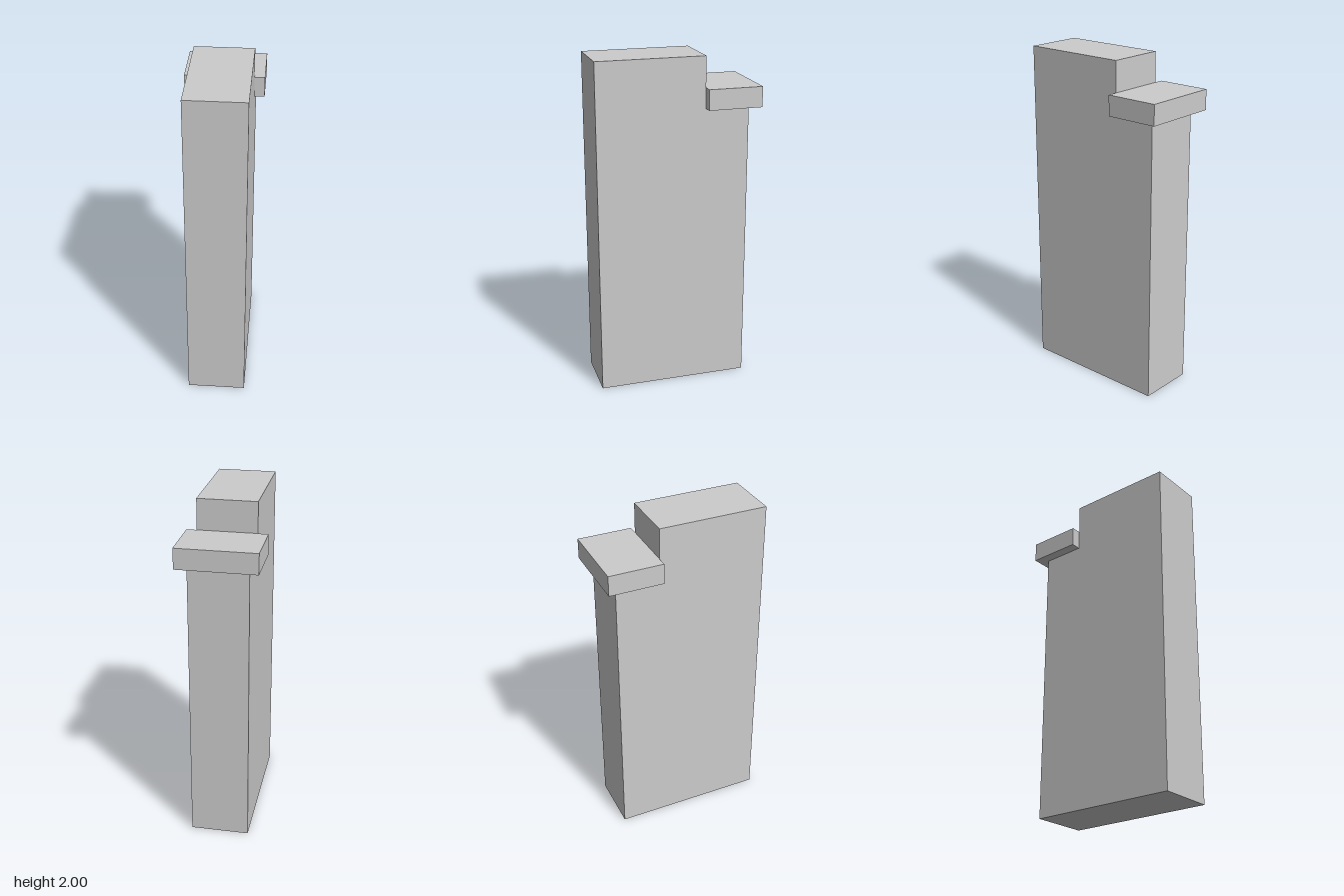
import * as THREE from 'three';

export function createModel() {
  const group = new THREE.Group();
  const material = new THREE.MeshStandardMaterial({ color: 0xcccccc, flatShading: true });

  const halfWidth = 0.172;
  const front = 0.48, step = -0.16, back = -0.42;
  const stepHeight = 1.7, height = 2;

  // Tall slab with a step cut out of its upper back, drawn as a (z, y) side profile
  const profile = new THREE.Shape([
    [back, 0], [front, 0], [front, height], [step, height], [step, stepHeight], [back, stepHeight],
  ].map(([z, y]) => new THREE.Vector2(z, y)));
  const bodyGeometry = new THREE.ExtrudeGeometry(profile, { depth: 2 * halfWidth, bevelEnabled: false });
  bodyGeometry.translate(0, 0, -halfWidth).rotateY(-Math.PI / 2);
  const body = new THREE.Mesh(bodyGeometry, material);
  body.name = 'body';
  group.add(body);

  // Overhanging cap resting on the step
  const cap = new THREE.Mesh(new THREE.BoxGeometry(0.462, 0.12, 0.32), material);
  cap.name = 'cap';
  cap.position.set(0, stepHeight + 0.06, step - 0.16);
  group.add(cap);

  return group;
}
